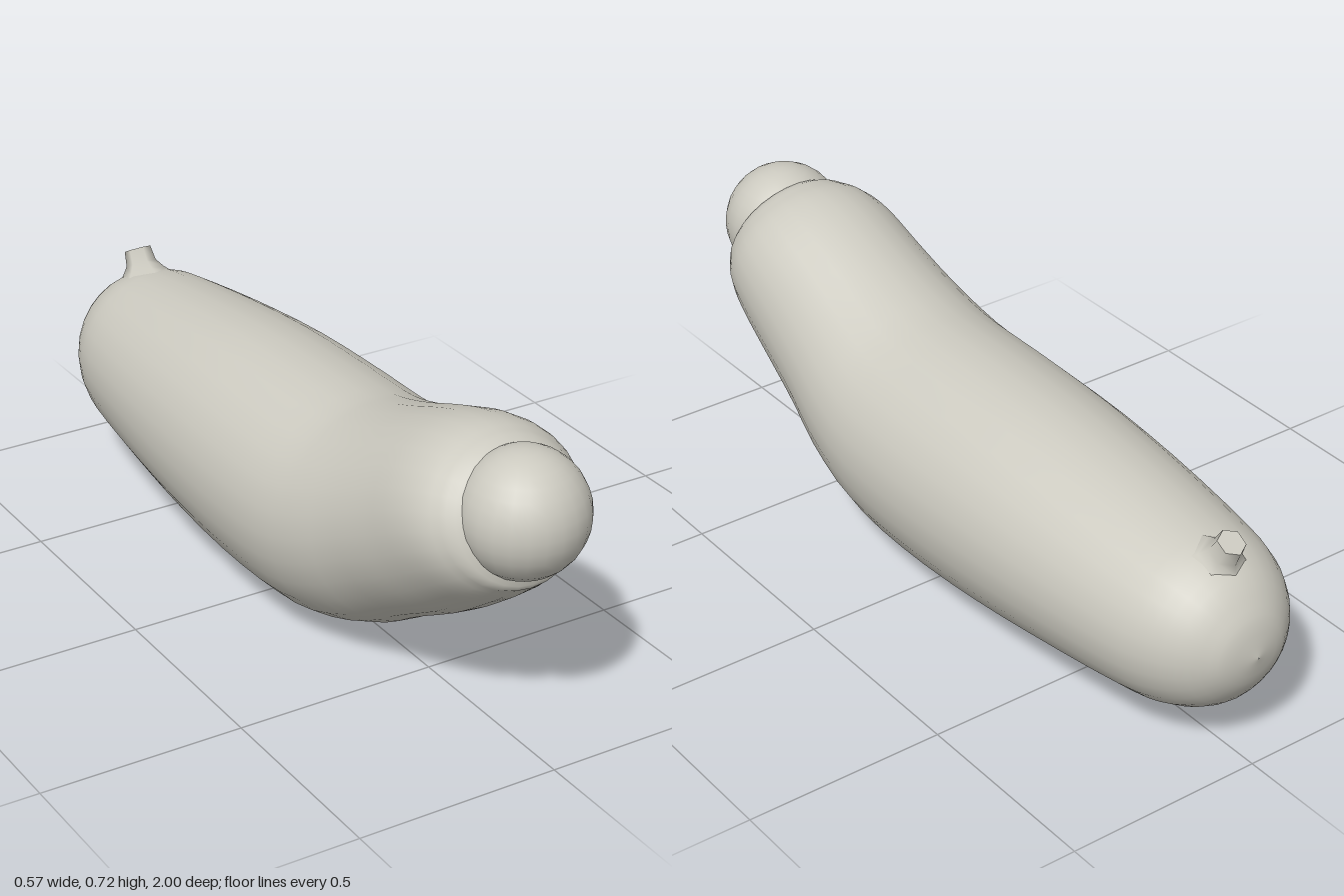
import * as THREE from 'three';

const SIDES = 28, STEPS = 44;

// Cross-sections from tail to neck: [top z, top y, bottom z, bottom y, half width]
const SECTIONS = [
  [-1, 0.291, -1, 0.289, 0.001],
  [-0.986, 0.36, -0.986, 0.225, 0.073],
  [-0.963, 0.405, -0.963, 0.178, 0.115],
  [-0.92, 0.455, -0.92, 0.128, 0.162],
  [-0.85, 0.492, -0.85, 0.09, 0.203],
  [-0.75, 0.511, -0.75, 0.067, 0.231],
  [-0.5, 0.543, -0.5, 0.038, 0.262],
  [-0.25, 0.567, -0.25, 0.011, 0.28],
  [0, 0.575, 0, 0, 0.287],
  [0.2, 0.58, 0.22, 0.015, 0.282],
  [0.3, 0.6, 0.4, 0.08, 0.268],
  [0.4, 0.633, 0.53, 0.16, 0.25],
  [0.5, 0.672, 0.68, 0.245, 0.236],
  [0.6, 0.706, 0.78, 0.315, 0.228],
  [0.68, 0.72, 0.84, 0.36, 0.214],
  [0.74, 0.716, 0.878, 0.395, 0.188],
  [0.79, 0.7, 0.9, 0.43, 0.15],
  [0.9, 0.601, 0.9, 0.599, 0.001],
];

// Smooth closed skin lofted through tilted elliptical rings
function bodyGeometry() {
  const smooth = (pick) => new THREE.CatmullRomCurve3(SECTIONS.map(pick), false, 'catmullrom', 0.5);
  const top = smooth((s) => new THREE.Vector3(s[4], s[1], s[0]));
  const bottom = smooth((s) => new THREE.Vector3(s[4], s[3], s[2]));
  const positions = [], index = [];
  for (let i = 0; i <= STEPS; i++) {
    const t = top.getPoint(i / STEPS), b = bottom.getPoint(i / STEPS);
    for (let j = 0; j < SIDES; j++) {
      const a = (j / SIDES) * Math.PI * 2, k = (1 + Math.cos(a)) / 2;
      positions.push(Math.sin(a) * t.x, b.y + (t.y - b.y) * k, b.z + (t.z - b.z) * k);
      if (i < STEPS) {
        const p = i * SIDES + j, q = i * SIDES + ((j + 1) % SIDES);
        index.push(p, p + SIDES, q, q, p + SIDES, q + SIDES);
      }
    }
  }
  const g = new THREE.BufferGeometry();
  g.setAttribute('position', new THREE.Float32BufferAttribute(positions, 3));
  g.setIndex(index);
  g.computeVertexNormals();
  return g;
}

export function createModel() {
  const group = new THREE.Group();
  const skin = new THREE.MeshStandardMaterial({ color: 0xcccac0 });
  skin.name = 'pale grey';

  const add = (name, geometry, x, y, z) => {
    const mesh = new THREE.Mesh(geometry, skin);
    mesh.name = name;
    mesh.position.set(x, y, z);
    group.add(mesh);
    return mesh;
  };

  add('body', bodyGeometry(), 0, 0, 0);
  add('frontBall', new THREE.SphereGeometry(0.15, 24, 16), 0, 0.572, 0.85);

  // Flared six-sided stub on the back end, leaning backwards
  const profile = [[0.085, -0.03], [0.055, 0.0], [0.039, 0.022], [0.034, 0.06]]
    .map(([r, y]) => new THREE.Vector2(r, y));
  const stub = add('tailStub', new THREE.LatheGeometry(profile, 6), 0, 0.483, -0.865);
  stub.rotation.x = -0.5;
  const cap = new THREE.Mesh(new THREE.CircleGeometry(0.034, 6, Math.PI / 6), skin);
  cap.name = 'tailStubCap';
  cap.rotation.x = -Math.PI / 2;
  cap.position.y = 0.06;
  stub.add(cap);

  return group;
}
